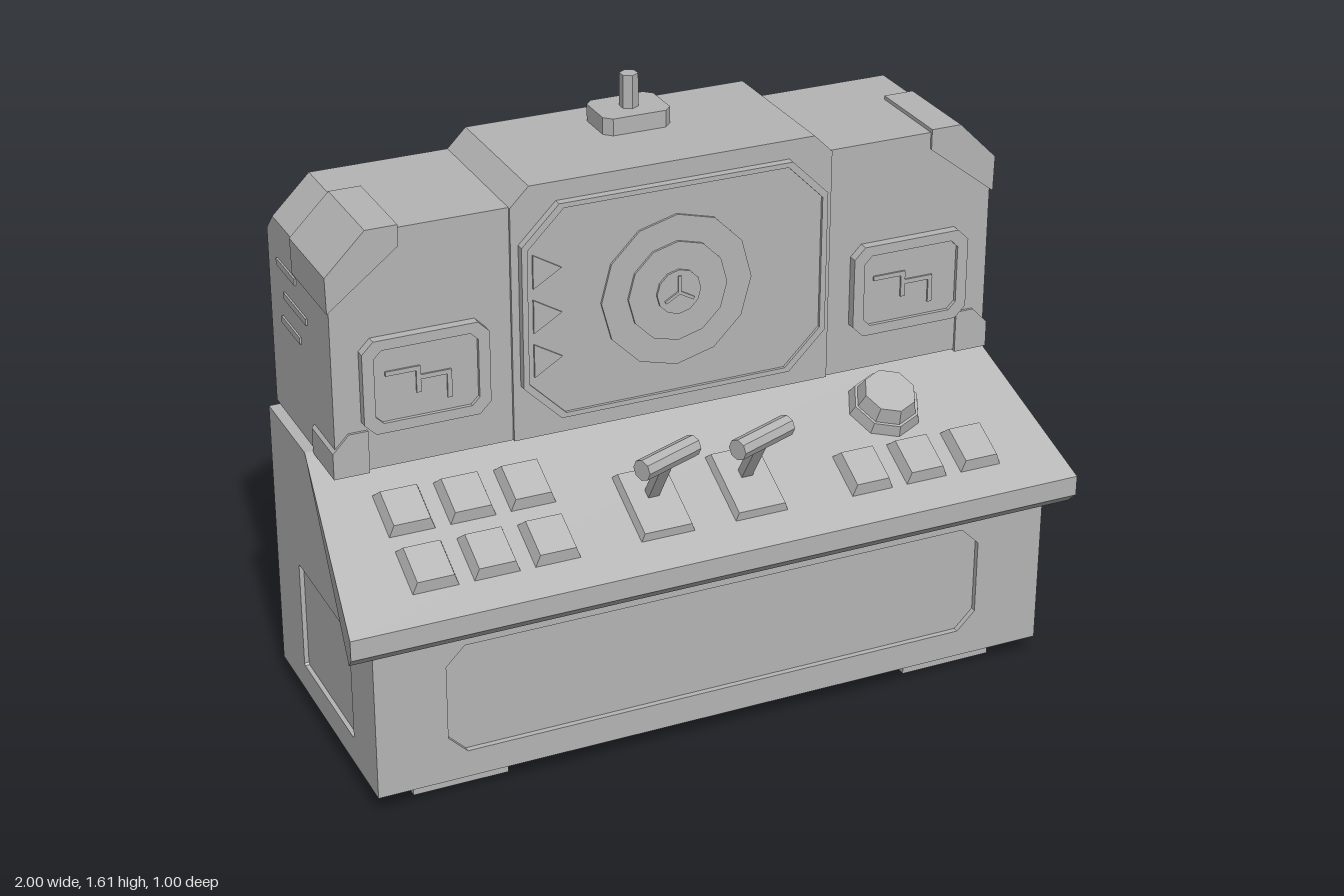
import * as THREE from 'three';

const grey = new THREE.MeshStandardMaterial({ color: 0xb4b4b4 });
grey.name = 'grey';

// Adds a named, facet-shaded mesh to a parent
function add(parent, name, geometry, x = 0, y = 0, z = 0) {
  const g = geometry.index ? geometry.toNonIndexed() : geometry;
  g.computeVertexNormals();
  const mesh = new THREE.Mesh(g, grey);
  mesh.name = name;
  mesh.position.set(x, y, z);
  parent.add(mesh);
  return mesh;
}

const box = (w, h, d) => new THREE.BoxGeometry(w, h, d);
const poly = (pts) => new THREE.Shape(pts.map(([x, y]) => new THREE.Vector2(x, y)));
const extrude = (shape, depth, steps = 1) =>
  new THREE.ExtrudeGeometry(shape, { depth, steps, bevelEnabled: false });

// Rectangle with cut corners, as points
function cutRect(x0, x1, y0, y1, c) {
  return [[x0 + c, y0], [x1 - c, y0], [x1, y0 + c], [x1, y1 - c],
    [x1 - c, y1], [x0 + c, y1], [x0, y1 - c], [x0, y0 + c]];
}

// Shape with one hole
function holed(outer, inner) {
  const s = poly(outer);
  s.holes.push(new THREE.Path(inner.map(([x, y]) => new THREE.Vector2(x, y))));
  return s;
}

// Extrudes a (z, y) side profile along x from x0 to x1
function sideways(shape, x0, x1) {
  return extrude(shape, x1 - x0).rotateY(-Math.PI / 2).translate(x1, 0, 0);
}

// Block whose top is smaller than its foot, standing on y = 0
function pad(w, h, d, inset) {
  const g = box(w, h, d).translate(0, h / 2, 0);
  const p = g.attributes.position;
  for (let i = 0; i < p.count; i++) {
    if (p.getY(i) > h / 2) {
      p.setX(i, p.getX(i) - Math.sign(p.getX(i)) * inset);
      p.setZ(i, p.getZ(i) - Math.sign(p.getZ(i)) * inset);
    }
  }
  return g;
}

function buildBase(root) {
  // Core with thin skins around it, leaving recessed panels
  add(root, 'baseCore', sideways(poly([[0.435, 0.055], [0.435, 0.48], [0, 0.8], [-0.28, 0.8], [-0.28, 0.055]]), -0.918, 0.918));
  const profile = [[0.45, 0.055], [0.45, 0.48], [0, 0.8], [-0.28, 0.8], [-0.28, 0.055]];
  const window = cutRect(-0.1, 0.28, 0.13, 0.43, 0.005);
  add(root, 'leftSidePanel', sideways(holed(profile, window), 0.918, 0.93));
  add(root, 'rightSidePanel', sideways(holed(profile, window), -0.93, -0.918));
  add(root, 'frontPanel', extrude(holed(
    [[-0.918, 0.055], [0.918, 0.055], [0.918, 0.48], [-0.918, 0.48]],
    cutRect(-0.742, 0.742, 0.13, 0.435, 0.05)), 0.015), 0, 0, 0.435);

  for (const s of [-1, 1]) {
    for (const z of [0.305, -0.155]) add(root, 'foot', box(0.255, 0.055, 0.18), s * 0.692, 0.0275, z);
  }

  // Sloping desk, wider towards the front
  const desk = sideways(poly([[0, 0.8], [0.5, 0.55], [0.5, 0.495], [0.47, 0.465]]), -0.93, 0.93);
  const p = desk.attributes.position;
  for (let i = 0; i < p.count; i++) p.setX(i, p.getX(i) * (1 + 0.1505 * p.getZ(i)));
  add(root, 'desk', desk);
}

function buildControls(root) {
  // Local frame lies on the desk slope, z running down it
  const slope = new THREE.Group();
  slope.name = 'controls';
  slope.position.set(0, 0.8, 0);
  slope.rotation.x = Math.atan2(0.25, 0.5);
  root.add(slope);
  const along = Math.hypot(1, 0.5);

  for (const x of [-0.75, -0.59, -0.43]) {
    for (const z of [0.207, 0.362]) add(slope, 'button', pad(0.12, 0.03, 0.13, 0.012), x, 0, z * along);
  }
  for (const x of [0.44, 0.597, 0.755]) add(slope, 'button', pad(0.115, 0.03, 0.13, 0.012), x, 0, 0.362 * along);

  add(slope, 'knobBase', new THREE.CylinderGeometry(0.09, 0.1, 0.03, 8), 0.585, 0.015, 0.2 * along);
  add(slope, 'knob', new THREE.CylinderGeometry(0.07, 0.083, 0.04, 8), 0.585, 0.05, 0.2 * along);

  for (const x of [-0.132, 0.127]) {
    add(slope, 'leverPlate', pad(0.145, 0.022, 0.205, 0.008), x, 0, 0.325 * along);
    // Stick leans forward to a crossbar
    const stick = add(root, 'leverStick', box(0.03, 0.2, 0.025), x, 0.72, 0.353);
    stick.rotation.x = Math.atan2(0.09, 0.14);
    add(root, 'leverHandle', new THREE.CylinderGeometry(0.028, 0.028, 0.185, 8).rotateX(Math.PI / 8).rotateZ(Math.PI / 2), x, 0.81, 0.41);
  }
}

function buildCabinet(root) {
  // Stepped outline, with the rear top edge bevelled
  const half = [[0.9, 0.8], [0.9, 1.33], [0.8, 1.43], [0.435, 1.43], [0.385, 1.48]];
  const outline = [...half, ...half.map(([x, y]) => [-x, y]).reverse()];
  const body = extrude(poly(outline), 2, 2);
  const p = body.attributes.position;
  for (let i = 0; i < p.count; i++) {
    const layer = Math.round(p.getZ(i));
    if (layer === 0 && p.getY(i) > 1) p.setY(i, p.getY(i) - 0.05);
    p.setZ(i, [-0.305, -0.255, 0.15][layer]);
  }
  add(root, 'cabinet', body);
  add(root, 'centreFront', extrude(poly([[-0.435, 0.8], [0.435, 0.8], [0.435, 1.43], [0.385, 1.48], [-0.385, 1.48], [-0.435, 1.43]]), 0.008), 0, 0, 0.15);

  // Corner guards, side vents and side displays
  const guard = [[0.72, 1.44], [0.72, 1.385], [0.906, 1.24], [0.908, 1.335], [0.803, 1.44]];
  const lowGuard = [[0.815, 0.795], [0.908, 0.795], [0.908, 0.865], [0.865, 0.91], [0.815, 0.91]];
  for (const s of [-1, 1]) {
    const side = ([x, y]) => [s * x, y];
    add(root, 'upperCornerGuard', extrude(poly(guard.map(side)), 0.257), 0, 0, -0.1);
    add(root, 'lowerCornerGuard', extrude(poly(lowGuard.map(side)), 0.157), 0, 0, 0);
    for (const [y, z, d] of [[1.22, -0.16, 0.14], [1.145, -0.1, 0.17], [1.07, -0.14, 0.14]]) {
      add(root, 'sideVent', box(0.008, 0.018, d), s * 0.901, y, z);
    }
    const display = new THREE.Group();
    display.name = 'sideDisplay';
    display.position.set(s * 0.665, 1.03, 0.15);
    root.add(display);
    add(display, 'displayFrame', extrude(holed(cutRect(-0.165, 0.165, -0.125, 0.125, 0.03), cutRect(-0.135, 0.135, -0.098, 0.098, 0.02)), 0.025));
    add(display, 'displayScreen', extrude(poly(cutRect(-0.135, 0.135, -0.098, 0.098, 0.02)), 0.015));
    for (const [x, y, w, h] of [[-0.06, 0.03, 0.09, 0.012], [-0.02, 0, 0.012, 0.07],
      [0.025, 0.005, 0.08, 0.012], [0.06, -0.03, 0.012, 0.07]]) {
      add(display, 'displayTrace', box(w, h, 0.006), x, y, 0.017);
    }
  }
}

function buildScreen(root) {
  const screen = new THREE.Group();
  screen.name = 'mainScreen';
  screen.position.set(0, 1.14, 0.158);
  root.add(screen);
  const inner = cutRect(-0.4, 0.4, -0.277, 0.277, 0.097);
  add(screen, 'screenFrame', extrude(holed(cutRect(-0.415, 0.415, -0.29, 0.29, 0.1), inner), 0.022));
  add(screen, 'screenGlass', extrude(poly(inner), 0.014));

  // Concentric rings and a three-armed marker
  [[0.205, 0.02], [0.135, 0.026], [0.06, 0.032]].forEach(([r, d]) => {
    add(screen, 'screenRing', new THREE.CylinderGeometry(r, r, d, 12).rotateX(Math.PI / 2), 0, 0, d / 2);
  });
  for (let i = 0; i < 3; i++) {
    const arm = add(screen, 'markerArm', box(0.008, 0.045, 0.006).translate(0, 0.022, 0), 0, 0, 0.034);
    arm.rotation.z = i * Math.PI * 2 / 3;
  }
  // Pointed marks down the edge
  for (const y of [-0.12, 0, 0.12]) {
    add(screen, 'edgeMark', extrude(poly([[-0.385, y - 0.045], [-0.31, y], [-0.385, y + 0.045]]), 0.006), 0, 0, 0.014);
  }
}

function buildExtras(root) {
  // Post on the roof
  add(root, 'antennaBase', extrude(poly(cutRect(-0.092, 0.092, -0.07, 0.07, 0.02)), 0.045).rotateX(-Math.PI / 2), 0, 1.48, -0.118);
  add(root, 'antennaPost', new THREE.CylinderGeometry(0.024, 0.024, 0.09, 6), 0, 1.568, -0.115);

  // Three pipes bending from the back down to a floor plate
  add(root, 'pipePlate', box(0.39, 0.042, 0.2), 0.435, 0.021, -0.4);
  const b = 0.016;
  const pipe = poly([[-0.27, 0.56], [-0.39, 0.548], [-0.458, 0.446], [-0.458, 0.04],
    [-0.431, 0.04], [-0.431, 0.455], [-0.382, 0.532], [-0.27, 0.542]]);
  for (const x of [0.343, 0.435, 0.527]) {
    const g = new THREE.ExtrudeGeometry(pipe, { depth: 0.022, bevelThickness: b, bevelSize: b, bevelSegments: 1 });
    add(root, 'pipe', g.rotateY(-Math.PI / 2), x + 0.011, 0, 0);
  }
}

export function createModel() {
  const root = new THREE.Group();
  root.name = 'controlConsole';
  buildBase(root);
  buildControls(root);
  buildCabinet(root);
  buildScreen(root);
  buildExtras(root);
  return root;
}
